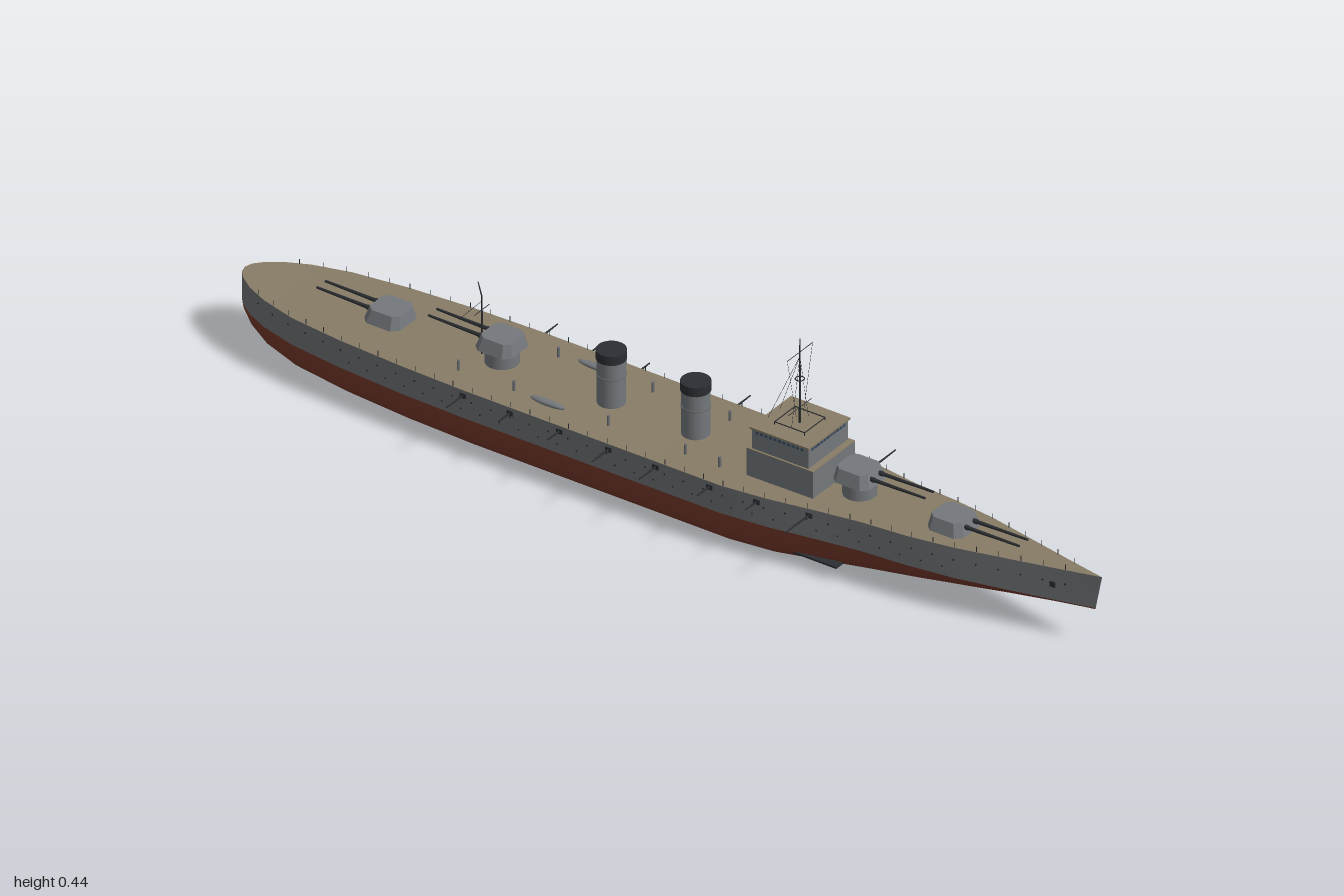
import * as THREE from 'three';
import { mergeGeometries } from 'three/addons/utils/BufferGeometryUtils.js';

const mat = (name, color, side = THREE.FrontSide) => {
  const m = new THREE.MeshStandardMaterial({ color, side });
  m.name = name;
  return m;
};

export function createModel() {
  const ship = new THREE.Group();
  ship.name = 'warship';
  const grey = mat('hullGrey', 0x6c6f72, THREE.DoubleSide);
  const light = mat('turretGrey', 0x74787c);
  const red = mat('antifoulingRed', 0x74382a, THREE.DoubleSide);
  const tan = mat('deckTan', 0x877c66);
  const dark = mat('darkSteel', 0x2b2e32);
  const glass = mat('windowBlue', 0x3c4f62);

  const add = (name, geo, material, parent = ship) => {
    const m = new THREE.Mesh(geo, material);
    m.name = name;
    parent.add(m);
    return m;
  };
  const box = (w, h, d, x, y, z) => new THREE.BoxGeometry(w, h, d).translate(x, y, z);
  // Straight rod between two points
  const rod = (a, b, r, r2 = r, sides = 6) => {
    const A = new THREE.Vector3(...a), B = new THREE.Vector3(...b), d = B.clone().sub(A);
    const g = new THREE.CylinderGeometry(r2, r, d.length(), sides);
    g.applyQuaternion(new THREE.Quaternion().setFromUnitVectors(new THREE.Vector3(0, 1, 0), d.normalize()));
    return g.translate(...A.add(B).multiplyScalar(0.5).toArray());
  };
  // Surface through equal-length rows of points
  const loft = (rows) => {
    const n = rows[0].length, idx = [];
    for (let i = 0; i < rows.length - 1; i++) for (let j = 0; j < n - 1; j++) {
      const a = i * n + j, b = a + n;
      idx.push(a, b, a + 1, b, b + 1, a + 1);
    }
    const g = new THREE.BufferGeometry();
    g.setAttribute('position', new THREE.Float32BufferAttribute(rows.flat(2), 3));
    g.setIndex(idx);
    g.computeVertexNormals();
    return g;
  };

  // Hull stations: x, half width, keel height, deck height
  const WL = 0.08;
  const stations = [
    [-1, 0, 0.078, 0.14], [-0.995, 0.017, 0.074, 0.14], [-0.98, 0.034, 0.064, 0.14],
    [-0.95, 0.056, 0.045, 0.14], [-0.9, 0.079, 0.026, 0.14], [-0.82, 0.101, 0.013, 0.14],
    [-0.7, 0.116, 0.006, 0.141], [-0.55, 0.126, 0.002, 0.142], [-0.4, 0.13, 0, 0.142],
    [-0.1, 0.13, 0, 0.142], [0.2, 0.13, 0, 0.142], [0.3, 0.12, 0.003, 0.143],
    [0.4, 0.103, 0.011, 0.144], [0.5, 0.088, 0.02, 0.145], [0.6, 0.08, 0.031, 0.146],
    [0.7, 0.066, 0.043, 0.148], [0.8, 0.044, 0.055, 0.15], [0.9, 0.022, 0.067, 0.152],
    [1, 0, 0.078, 0.155],
  ];
  const at = (x, k) => {
    let i = 1;
    while (i < stations.length - 1 && stations[i][0] < x) i++;
    const a = stations[i - 1], b = stations[i];
    return a[k] + (b[k] - a[k]) * (x - a[0]) / (b[0] - a[0]);
  };
  const rounded = [[0, 0], [0.5, 0.005], [0.76, 0.08], [0.88, 0.24], [0.95, 0.45], [0.99, 0.7], [1, 1]];
  const bottom = [], port = [], starboard = [], deckRows = [];
  for (const [x, w, k, d] of stations) {
    const vee = THREE.MathUtils.smoothstep(x, 0.25, 1) * 0.75;
    const rake = x > 0.85 ? 0.015 * (x - 0.85) / 0.15 : 0;
    const half = rounded.map(([s, t]) =>
      [x - rake, k + (WL - k) * t, w * THREE.MathUtils.lerp(s, t ** 0.8, vee)]);
    bottom.push([...half.slice(1).reverse().map(([a, b, c]) => [a, b, -c]), ...half]);
    port.push([[x - rake, WL, w], [x, d, w]]);
    starboard.push([[x, d, -w], [x - rake, WL, -w]]);
    deckRows.push([[x, d, w], [x, d, -w]]);
  }
  add('lowerHull', loft(bottom), red);
  add('leftTopside', loft(port), grey);
  add('rightTopside', loft(starboard), grey);
  add('deck', loft(deckRows), tan);

  // Rudder and stabiliser fins
  const rudder = new THREE.Shape([[-0.952, 0.015], [-0.885, 0.015], [-0.885, 0.03], [-0.945, 0.05]]
    .map(p => new THREE.Vector2(...p)));
  add('rudder', new THREE.ExtrudeGeometry(rudder, { depth: 0.008, bevelEnabled: false }).translate(0, 0, -0.004), grey);
  for (const s of [1, -1]) {
    add('stabiliserFin', box(0.1, 0.004, 0.03, 0.4, 0.03, s * 0.085), dark);
  }

  // Main gun turrets: octagonal plan with sloped sides
  const turret = (x, y, dir, raised) => {
    const g = new THREE.Group();
    g.name = 'mainTurret';
    const a = 0.042, b = 0.028, h = 0.027;
    const plan = new THREE.Shape([[a, b], [b, a], [-b, a], [-a, b], [-a, -b], [-b, -a], [b, -a], [a, -b]]
      .map(p => new THREE.Vector2(...p)));
    const house = new THREE.ExtrudeGeometry(plan, { depth: h, bevelEnabled: false }).rotateX(-Math.PI / 2);
    const p = house.attributes.position;
    for (let i = 0; i < p.count; i++) if (p.getY(i) > h / 2) {
      p.setX(i, p.getX(i) * 0.84 - 0.002);
      p.setZ(i, p.getZ(i) * 0.78);
    }
    house.computeVertexNormals();
    add('gunHouse', house, light, g);
    const drop = raised ? 0.036 : 0.006;
    add('barbette', new THREE.CylinderGeometry(0.034, 0.034, drop, 24).translate(0, -drop / 2, 0), light, g);
    for (const z of [0.014, -0.014]) {
      add('gunPort', rod([0.03, 0.016, z], [0.044, 0.016, z], 0.005, 0.005, 12), dark, g);
      add('gunBarrel', rod([0.03, 0.016, z], [0.162, 0.018, z], 0.0042, 0.0025, 10), dark, g);
    }
    g.position.set(x, y, 0);
    if (dir < 0) g.rotation.y = Math.PI;
    ship.add(g);
  };
  turret(0.655, 0.149, 1, false);
  turret(0.435, 0.178, 1, true);
  turret(-0.4, 0.176, -1, true);
  turret(-0.66, 0.146, -1, false);

  // Bridge tower
  add('bridgeLower', box(0.155, 0.062, 0.14, 0.297, 0.171, 0), light);
  add('bridgeUpper', box(0.132, 0.046, 0.132, 0.295, 0.225, 0), light);
  add('bridgeLedge', box(0.155, 0.002, 0.14, 0.297, 0.203, 0), tan);
  add('bridgeRoof', box(0.138, 0.004, 0.138, 0.295, 0.25, 0), tan);
  const panes = [];
  for (let i = -5; i <= 5; i++) {
    panes.push(box(0.002, 0.006, 0.007, 0.3615, 0.243, i * 0.0105));
    for (const s of [1, -1]) panes.push(box(0.007, 0.006, 0.002, 0.295 + i * 0.0105, 0.243, s * 0.0665));
  }
  add('bridgeWindows', mergeGeometries(panes), glass);
  add('roofRail', mergeGeometries([-1, 1].flatMap(s => [
    box(0.07, 0.0015, 0.0015, 0.295, 0.258, s * 0.034), box(0.0015, 0.0015, 0.068, 0.295 + s * 0.035, 0.258, 0),
    ...[-1, 1].map(t => box(0.0015, 0.008, 0.0015, 0.295 + s * 0.035, 0.255, t * 0.034))])), dark);

  // Funnels with dark caps
  for (const x of [-0.145, 0.052]) {
    add('funnel', new THREE.CylinderGeometry(0.028, 0.028, 0.1, 28).translate(x, 0.19, 0), light);
    add('funnelCap', new THREE.CylinderGeometry(0.03, 0.03, 0.02, 28).translate(x, 0.25, 0), dark);
    add('funnelBand', new THREE.CylinderGeometry(0.0295, 0.0295, 0.004, 28).translate(x, 0.205, 0), grey);
  }

  // Foremast with yards and stays
  const mx = 0.295;
  const fore = [rod([mx, 0.25, 0], [mx, 0.44, 0], 0.0025, 0.0012, 8),
    rod([mx, 0.41, -0.042], [mx, 0.41, 0.042], 0.0007),
    rod([mx, 0.286, -0.038], [mx, 0.286, 0.038], 0.0007),
    new THREE.TorusGeometry(0.009, 0.0012, 5, 16).rotateX(Math.PI / 2).translate(mx, 0.35, 0)];
  for (const s of [1, -1]) {
    fore.push(rod([mx, 0.4, 0], [mx, 0.252, s * 0.028], 0.0004, 0.0004, 4),
      rod([mx, 0.41, s * 0.042], [mx, 0.27, s * 0.012], 0.0004, 0.0004, 4),
      rod([mx, 0.4, 0], [mx - 0.06, 0.252, s * 0.02], 0.0004, 0.0004, 4));
  }
  add('foremast', mergeGeometries(fore), dark);

  // Aft mast with gaff
  add('aftMast', mergeGeometries([
    rod([-0.447, 0.141, 0], [-0.447, 0.27, 0], 0.002, 0.0015), rod([-0.447, 0.27, 0], [-0.456, 0.3, 0], 0.0015, 0.001),
    rod([-0.447, 0.24, -0.025], [-0.447, 0.24, 0.025], 0.0007),
    rod([-0.447, 0.26, 0], [-0.5, 0.2, 0], 0.0004, 0.0004, 4)]), dark);

  // Broadside guns, portholes, rails, boats and deck fittings on both sides
  const guns = [[-0.4, 0.185], [-0.29, 0.167], [-0.175, 0.17], [-0.06, 0.185],
    [0.05, 0.185], [0.175, 0.17], [0.28, 0.16], [0.39, 0.183]];
  for (const s of [1, -1]) {
    const side = s > 0 ? 'left' : 'right';
    add(side + 'BroadsideGuns', mergeGeometries(guns.flatMap(([x, z]) => {
      const w = at(x, 1);
      return [rod([x, 0.13, s * (w - 0.01)], [x, 0.131, s * z], 0.0025, 0.0013, 8),
        box(0.014, 0.01, 0.004, x, 0.13, s * w)];
    })), dark);
    const holes = [], posts = [];
    for (let x = -0.92; x < 0.93; x += 0.045) {
      const w = at(x, 1);
      holes.push(rod([x, 0.121, s * (w - 0.002)], [x, 0.121, s * (w + 0.001)], 0.002, 0.002, 8));
      if (x > -0.7 && x < 0.7) holes.push(rod([x + 0.02, 0.1, s * (at(x + 0.02, 1) - 0.002)],
        [x + 0.02, 0.1, s * (at(x + 0.02, 1) + 0.001)], 0.0018, 0.0018, 8));
      const d = at(x, 3);
      posts.push(rod([x, d, s * (w - 0.002)], [x, d + 0.011, s * (w - 0.002)], 0.0008, 0.0008, 4));
    }
    add(side + 'Portholes', mergeGeometries(holes), dark);
    add(side + 'RailPosts', mergeGeometries(posts), dark);
    add(side + 'Anchor', box(0.012, 0.012, 0.003, 0.9, 0.115, s * 0.022), dark);
    add(side + 'Boat', new THREE.SphereGeometry(1, 20, 10).scale(0.041, 0.006, 0.009)
      .translate(-0.237, 0.147, s * 0.08), light);
    add(side + 'Ventilators', mergeGeometries([-0.45, -0.32, -0.1, 0.08, 0.16].map(x =>
      rod([x, 0.141, s * 0.074], [x, 0.164, s * 0.074], 0.0032, 0.0032, 10))), grey);
  }
  return ship;
}
